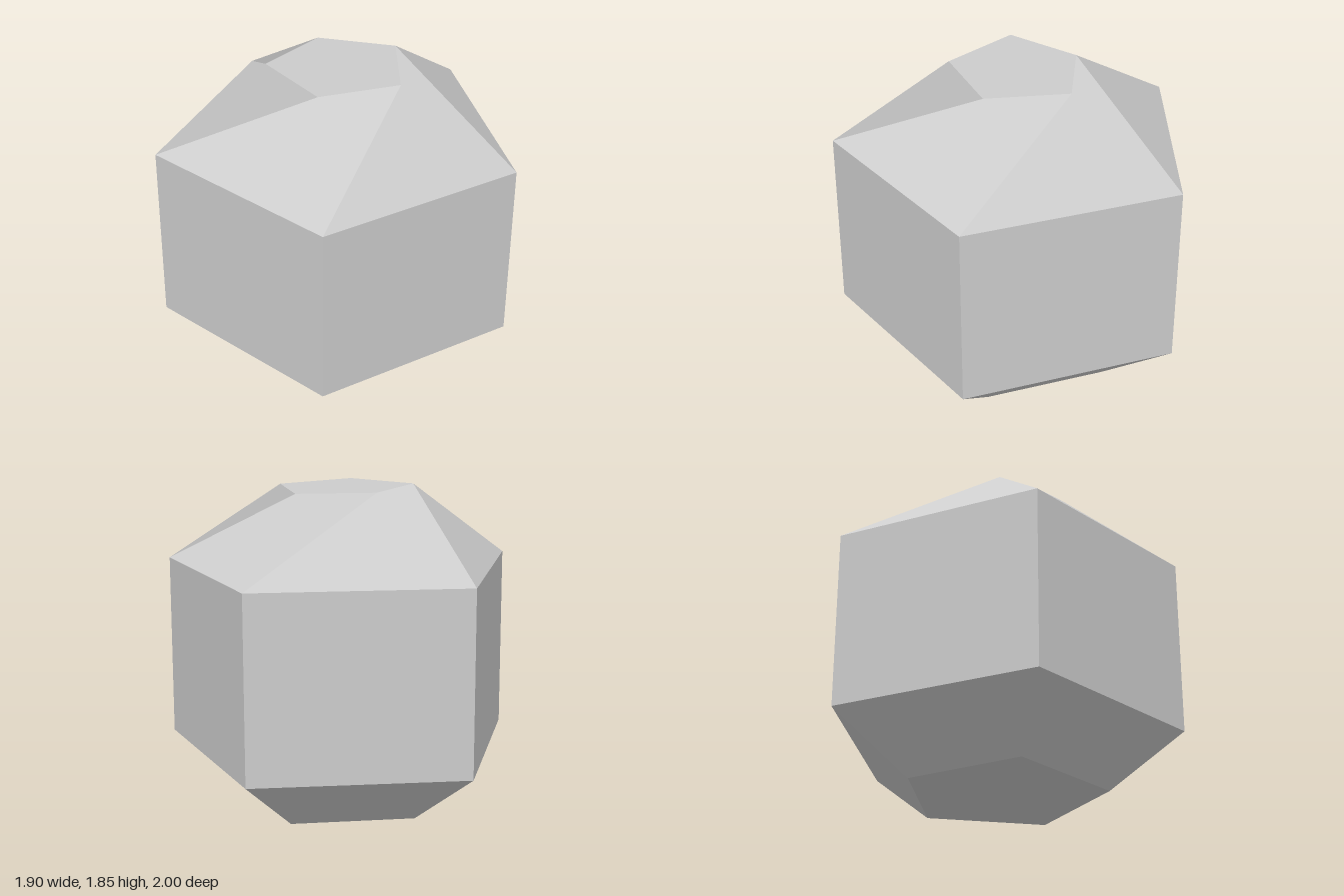
import * as THREE from 'three';

// Rings of five [x, y, z] corners, counter-clockwise from above.
const waist = [[-0.22, 1], [0.95, 0.62], [0.95, -0.62], [-0.22, -1], [-0.95, 0]];
const base = [[-0.09, 0.585], [0.585, 0.36], [0.585, -0.35], [-0.09, -0.555], [-0.54, -0.01]]
  .map(([x, z]) => [x, 0, z]);
const lower = waist.map(([x, z]) => [x, 0.34, z]);
const upper = waist.map(([x, z]) => [x, 1.397, z]);
// The crown ring is twisted against the waist and tilts slightly.
const crown = [[0.37, 1.838, 0.3], [0.465, 1.836, -0.165], [0.055, 1.842, -0.35],
  [-0.3, 1.848, -0.085], [-0.1, 1.844, 0.345]];

// Builds polygons with one flat normal each, even where a quad is twisted.
function facets(polygons) {
  const position = [], normal = [];
  for (const polygon of polygons) {
    const pts = polygon.map((p) => new THREE.Vector3(...p));
    const n = new THREE.Vector3();
    pts.forEach((p, i) => n.add(p.clone().cross(pts[(i + 1) % pts.length])));
    n.normalize();
    for (let i = 1; i < pts.length - 1; i++) {
      for (const p of [pts[0], pts[i], pts[i + 1]]) {
        position.push(p.x, p.y, p.z);
        normal.push(n.x, n.y, n.z);
      }
    }
  }
  const geometry = new THREE.BufferGeometry();
  geometry.setAttribute('position', new THREE.Float32BufferAttribute(position, 3));
  geometry.setAttribute('normal', new THREE.Float32BufferAttribute(normal, 3));
  return geometry;
}

// Quads between two rings, split from the lower right to the upper left corner.
const band = (low, high) => low.map((p, i) => {
  const j = (i + 1) % low.length;
  return [low[j], high[j], high[i], p];
});

export function createModel() {
  const group = new THREE.Group();
  group.name = 'facetedStone';
  const stone = new THREE.MeshStandardMaterial({ color: 0xcccccc });
  stone.name = 'light grey';

  const parts = {
    bottomFace: [[...base].reverse()],
    lowerBevel: band(base, lower),
    sideWalls: band(lower, upper),
    twistedShoulder: band(upper, crown),
    topFace: [crown],
  };
  for (const [name, polygons] of Object.entries(parts)) {
    const mesh = new THREE.Mesh(facets(polygons), stone);
    mesh.name = name;
    group.add(mesh);
  }
  return group;
}
